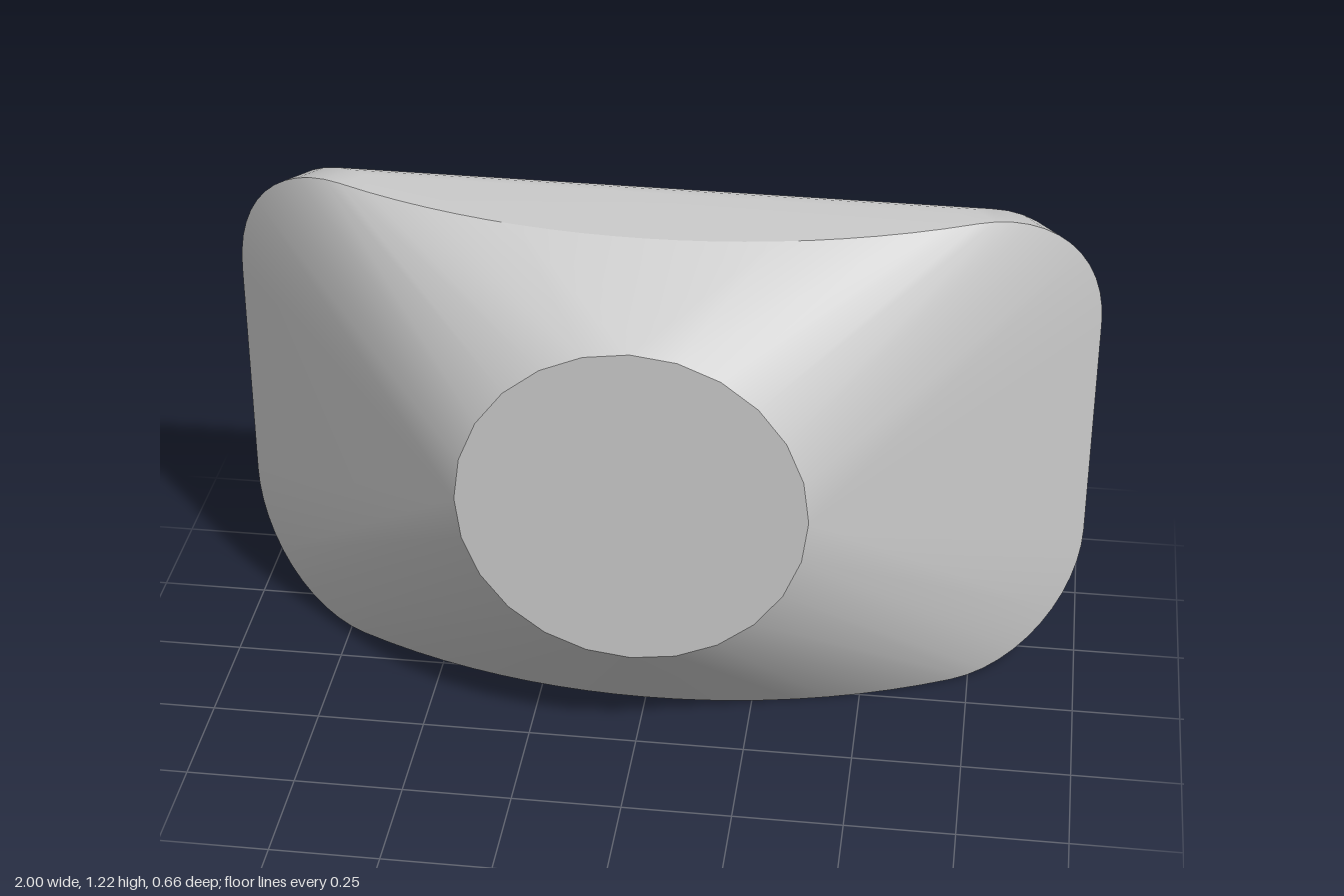
import * as THREE from 'three';
import { ConvexGeometry } from 'three/addons/geometries/ConvexGeometry.js';
import { toCreasedNormals } from 'three/addons/utils/BufferGeometryUtils.js';

const HALF_W = 1, HALF_H = 0.608, MID_Y = 0.613;
const CORNER_X = 0.29, CORNER_Y = 0.33;
const ARC_R = 1.57;

// Bowed front rim: a circular arc across the width
const rimZ = (x) => 0.08 - (ARC_R - Math.sqrt(ARC_R * ARC_R - x * x));

export function createModel() {
  const points = [];
  // The body leans very slightly across its width
  const add = (x, y, z) => points.push(new THREE.Vector3(x, MID_Y + y - 0.005 * x, z));

  // Rounded corners of the front rim and of the curved back
  const steps = 12;
  for (const sx of [-1, 1]) {
    for (const sy of [-1, 1]) {
      for (let i = 0; i <= steps; i++) {
        const a = (i / steps) * Math.PI / 2;
        const x = HALF_W - CORNER_X + CORNER_X * Math.cos(a);
        const y = HALF_H - CORNER_Y + CORNER_Y * Math.sin(a);
        add(sx * x, sy * y, rimZ(x));
        add(sx * (x - 0.05), sy * y, -0.14 - 0.19 * Math.cos(a));
      }
    }
  }

  // Bowed top and bottom edges of the rim
  const span = HALF_W - CORNER_X;
  for (let i = 1; i < 20; i++) {
    const x = -span + (2 * span * i) / 20;
    add(x, HALF_H, rimZ(x));
    add(x, -HALF_H, rimZ(x));
  }

  // Round flat front face
  for (let i = 0; i < 24; i++) {
    const a = (i / 24) * Math.PI * 2;
    points.push(new THREE.Vector3(0.39 * Math.cos(a), 0.683 + 0.39 * Math.sin(a), 0.33));
  }

  // The skin stretched over the rim, back and front face
  const geometry = toCreasedNormals(new ConvexGeometry(points), Math.PI / 7);
  const body = new THREE.Mesh(geometry, new THREE.MeshStandardMaterial({ color: 0xcccccc }));
  body.name = 'taperedBody';

  const group = new THREE.Group();
  group.name = 'taperedHousing';
  group.add(body);
  return group;
}
